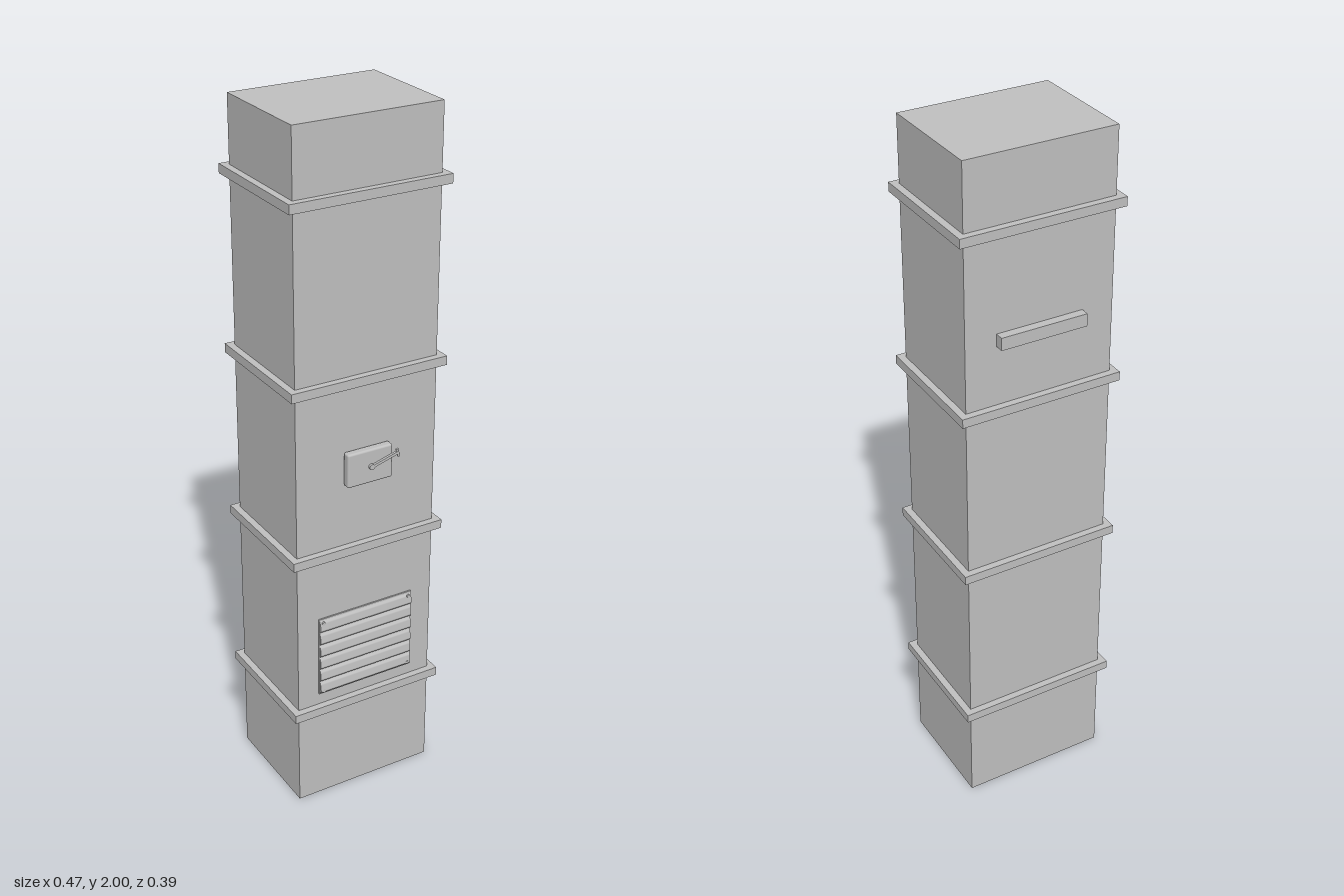
import * as THREE from 'three';
import { toCreasedNormals } from 'three/addons/utils/BufferGeometryUtils.js';
import { RoundedBoxGeometry } from 'three/addons/geometries/RoundedBoxGeometry.js';

const WIDTH = 0.43, DEPTH = 0.33, MID_Z = -0.005, FRONT = 0.16, BACK = -0.17;

function rectangle(Type, w, h) {
  const p = new Type();
  p.moveTo(-w / 2, -h / 2);
  p.lineTo(w / 2, -h / 2);
  p.lineTo(w / 2, h / 2);
  p.lineTo(-w / 2, h / 2);
  p.closePath();
  return p;
}

export function createModel() {
  const group = new THREE.Group();
  group.name = 'ventilationDuct';
  const steel = new THREE.MeshStandardMaterial({ color: 0xc0c0c0, side: THREE.DoubleSide });
  steel.name = 'galvanised steel';

  const add = (name, geometry, x, y, z, parent = group) => {
    const mesh = new THREE.Mesh(geometry, steel);
    mesh.name = name;
    mesh.position.set(x, y, z);
    parent.add(mesh);
    return mesh;
  };

  // Duct shell: a box without its bottom face
  const shell = new THREE.BoxGeometry(WIDTH, 2, DEPTH);
  const faces = Array.from(shell.index.array);
  faces.splice(18, 6);
  shell.setIndex(faces);
  shell.clearGroups();
  add('ductShell', shell, 0, 1, MID_Z);

  // Flanges: rectangular rings around the shell
  const ring = rectangle(THREE.Shape, WIDTH + 0.04, DEPTH + 0.04);
  ring.holes.push(rectangle(THREE.Path, WIDTH, DEPTH));
  const flange = new THREE.ExtrudeGeometry(ring, { depth: 0.026, bevelEnabled: false });
  flange.rotateX(-Math.PI / 2);
  for (const y of [0.3, 0.8, 1.3, 1.8]) add('flange', flange, 0, y - 0.011, MID_Z);

  // Rear bar
  add('rearBar', new THREE.BoxGeometry(0.25, 0.036, 0.025), 0, 1.503, BACK - 0.0125);

  // Damper box with its lever
  const damper = new THREE.Group();
  damper.name = 'damperControl';
  damper.position.set(0, 1.05, FRONT);
  group.add(damper);
  add('damperBox', new RoundedBoxGeometry(0.138, 0.1, 0.025, 3, 0.006), -0.002, 0, 0.0125, damper);
  const pivot = new THREE.CylinderGeometry(0.008, 0.008, 0.008, 20);
  pivot.rotateX(Math.PI / 2);
  add('leverPivot', pivot, 0, 0, 0.028, damper);
  const lever = add('lever', new THREE.BoxGeometry(0.084, 0.008, 0.007), 0.039, 0.011, 0.0285, damper);
  lever.rotation.z = 0.28;
  const knob = new THREE.CylinderGeometry(0.004, 0.004, 0.024, 12);
  add('leverGrip', knob, 0.081, 0.022, 0.028, damper).rotation.z = 0.28;

  // Louvred grille: thin back plate and curved slats
  const grille = new THREE.Group();
  grille.name = 'grille';
  grille.position.set(0, 0.475, FRONT);
  group.add(grille);
  add('grillePlate', new THREE.BoxGeometry(0.3, 0.25, 0.004), 0, 0, 0.002, grille);
  const profile = new THREE.Shape();
  profile.moveTo(0, 0.02);
  profile.quadraticCurveTo(0.009, 0.012, 0.009, -0.01);
  profile.quadraticCurveTo(0.009, -0.018, 0, -0.02);
  profile.closePath();
  let slat = new THREE.ExtrudeGeometry(profile, { depth: 0.296, bevelEnabled: false, curveSegments: 8 });
  slat.translate(0, 0, -0.148);
  slat.rotateY(-Math.PI / 2);
  slat = toCreasedNormals(slat, 0.7);
  for (let i = 0; i < 6; i++) add('slat', slat, 0, 0.102 - i * 0.0408, 0.002, grille);

  // Corner screws
  const screw = new THREE.CylinderGeometry(0.005, 0.005, 0.005, 12);
  screw.rotateX(Math.PI / 2);
  for (const x of [-0.138, 0.138])
    for (const y of [-0.113, 0.113]) add('screw', screw, x, y, 0.009, grille);

  return group;
}
